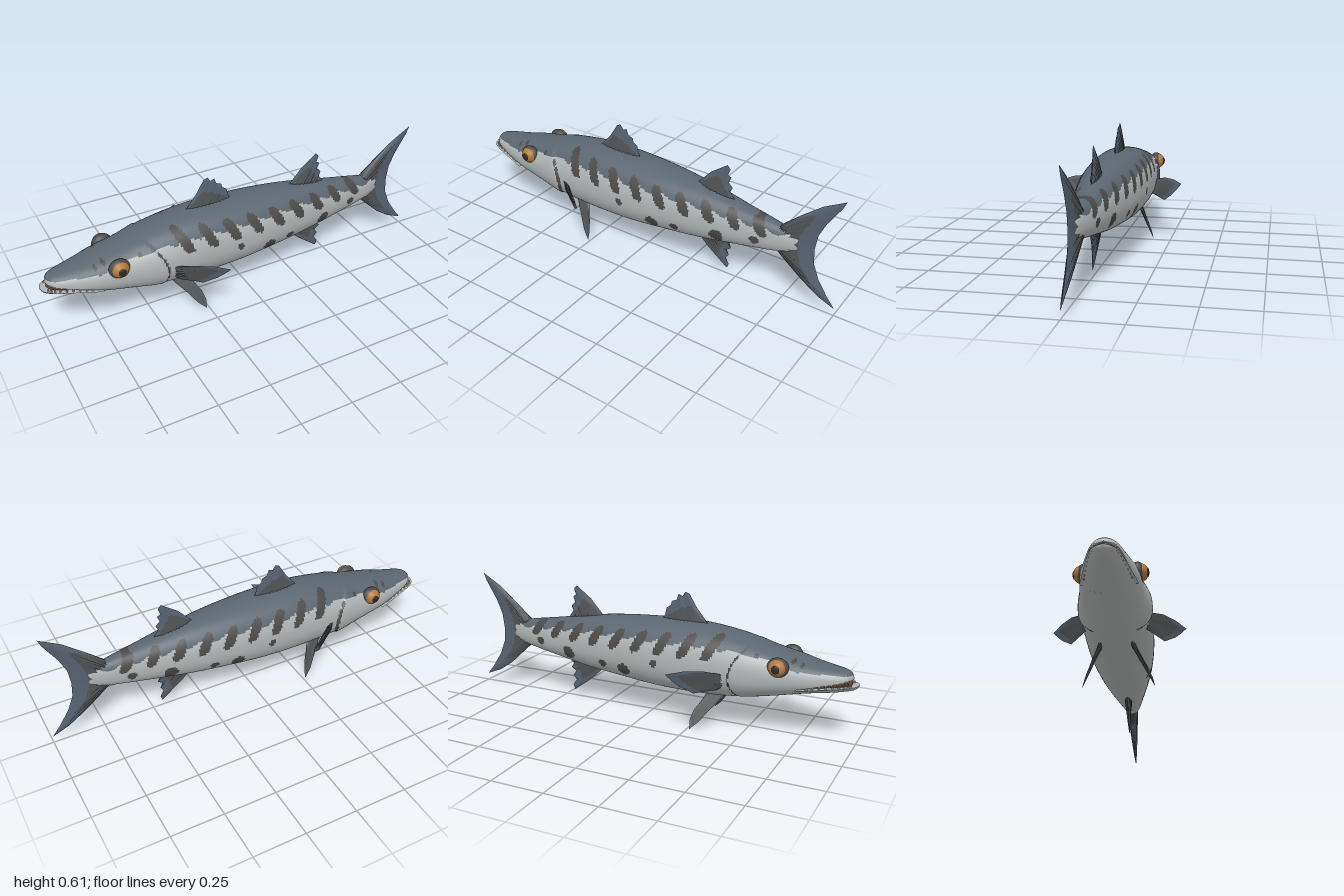
import * as THREE from 'three';

const paint = (name, color) => Object.assign(new THREE.MeshStandardMaterial({ color }), { name });
const MATS = [
  paint('slate back', 0x5c6670), paint('silver belly', 0xb2b6b6), paint('charcoal marks', 0x4b4a49),
  paint('dark fin', 0x515355), paint('slate fin', 0x576270), paint('amber eye', 0xb5793a),
  paint('black pupil', 0x2e2a28), paint('ivory tooth', 0xd8c6a6), paint('brown mouth', 0x74503a),
];
const [BACK, BELLY, MARK, FIN, FINTIP, AMBER, PUPIL, TOOTH, MOUTH] = MATS.keys();
const { clamp, smoothstep } = THREE.MathUtils;

// Body stations: x, top y, bottom y, half width
const STATIONS = [
  [-1, .31, .28, 0], [-.985, .332, .262, .035], [-.95, .345, .25, .06], [-.88, .355, .235, .083],
  [-.8, .368, .222, .105], [-.74, .382, .21, .12], [-.6, .412, .178, .138], [-.45, .45, .152, .152],
  [-.26, .475, .14, .158], [-.05, .475, .143, .154], [.15, .463, .16, .138], [.33, .442, .178, .112],
  [.54, .405, .21, .075], [.7, .378, .238, .045], [.78, .355, .262, .022], [.82, .33, .29, 0],
];
const JAW_END = 5 / (STATIONS.length - 1);
const curve = (pick) => new THREE.CatmullRomCurve3(STATIONS.map(pick), false, 'catmullrom', 0.5);
const heights = curve(([x, top, bot]) => new THREE.Vector3(x, top, bot));
const widths = curve(([x, , , w]) => new THREE.Vector3(x, w, 0));

// Smooth grid surface; u runs along, v across; each face takes the colour chosen by a rule
function grid(name, nu, nv, point, colour, wrap = false) {
  const pos = [], faces = MATS.map(() => []), cols = wrap ? nv : nv + 1;
  for (let i = 0; i <= nu; i++) for (let j = 0; j < cols; j++) pos.push(...point(i / nu, j / nv));
  for (let i = 0; i < nu; i++) for (let j = 0; j < nv; j++) {
    const k = (j + 1) % cols;
    const a = i * cols + j, b = a + cols, c = (i + 1) * cols + k, d = i * cols + k;
    const mid = [0, 1, 2].map((n) => (pos[a * 3 + n] + pos[b * 3 + n] + pos[c * 3 + n] + pos[d * 3 + n]) / 4);
    faces[colour(mid, (i + .5) / nu, (j + .5) / nv)].push(a, b, c, a, c, d);
  }
  const geo = new THREE.BufferGeometry();
  geo.setAttribute('position', new THREE.Float32BufferAttribute(pos, 3));
  geo.setIndex(faces.flat());
  let start = 0;
  faces.forEach((f, m) => { if (f.length) geo.addGroup(start, f.length, m); start += f.length; });
  geo.computeVertexNormals();
  const mesh = new THREE.Mesh(geo, MATS);
  mesh.name = name;
  return mesh;
}

const gillEdge = (y) => -.44 - 3.5 * (y - .27) ** 2;

// Point on the rounded body section at station t and turn v
function bodyPoint(t, v) {
  const h = heights.getPoint(t), w = Math.max(0, widths.getPoint(t).y), a = v * Math.PI * 2;
  const bend = (n) => Math.sign(n) * Math.abs(n) ** .9;
  const y = (h.y + h.z) / 2 + (h.y - h.z) / 2 * bend(Math.sin(a));
  const flare = h.x < gillEdge(y) ? 1 + .08 * smoothstep(h.x, -.62, gillEdge(y)) : 1;
  return [h.x, y, w * bend(Math.cos(a)) * flare];
}

// Lower edge of the dark back
const EDGE = [[-1.01, .322], [-.74, .335], [-.6, .375], [-.45, .395], [-.3, .4], [0, .395], [.3, .385], [.9, .33]];
function backEdge(x) {
  const i = clamp(EDGE.findIndex((e) => e[0] > x), 1, EDGE.length - 1);
  const [x0, y0] = EDGE[i - 1], [x1, y1] = EDGE[i];
  return y0 + (y1 - y0) * (x - x0) / (x1 - x0) + (x > -.42 ? .008 * Math.sin(x * 51.5) : 0);
}

// Flank spots: x, y, radius
const SPOTS = [[-.07, .29, .018], [.1, .23, .032], [.22, .24, .021], [.43, .257, .034], [.61, .288, .021],
  [-.76, .36, .009], [-.72, .372, .009], [-.56, .385, .011]];
function skin([x, y]) {
  if (SPOTS.some(([sx, sy, r]) => Math.hypot(x - sx, y - sy) < r)) return MARK;
  for (let k = 0; k < 9; k++) { // slanted bars
    const mid = .397 - .005 * k, half = .058 - .002 * k;
    const dx = (x - (-.35 + k * .122) - (mid - y) * .5) / .026;
    if (dx ** 2 + ((y - mid) / half) ** 4 < 1) return MARK;
  }
  if (y > .18 && y < .385 && Math.abs(x - gillEdge(y)) < .006) return MARK;
  return y > backEdge(x) ? BACK : BELLY;
}

const mouthLine = (x) => .25 + (-.74 - x) * .17;
const mouthGap = (x) => .05 * Math.max(0, -.74 - x);

// Fin fanned from base a-b to a serrated edge, with raised rays and a thin rim
function fin(name, a, b, edge, thick, tipAt = .6) {
  const vec = (p) => new THREE.Vector3(p[0], p[1], p[2] || 0);
  const A = vec(a), B = vec(b), E = edge.map(vec), n = (E.length - 1) * 2;
  const normal = B.clone().sub(A).cross(E[E.length >> 1].clone().sub(A)).normalize();
  const group = new THREE.Group();
  group.name = name;
  for (const s of [1, -1]) {
    const point = (u0, v) => {
      const u = s > 0 ? u0 : 1 - u0, f = u * (E.length - 1), i = Math.min(Math.floor(f + 1e-6), E.length - 2);
      const ridge = Math.round(u * n) % 2 ? .55 : 1;
      const t = thick * (1 - v) ** .8 * ridge * Math.max(0, Math.sin(Math.PI * u)) ** .4;
      return A.clone().lerp(B, u).lerp(E[i].clone().lerp(E[i + 1], f - i), v).addScaledVector(normal, s * t).toArray();
    };
    group.add(grid(name + 'Side', n, 10, point, (m, u, v) => (v > tipAt ? FINTIP : FIN)));
  }
  return group;
}

function part(name, geo, mat, x, y, z) {
  const mesh = new THREE.Mesh(geo, MATS[mat]);
  mesh.name = name;
  mesh.position.set(x, y, z);
  return mesh;
}

export function createModel() {
  const fish = new THREE.Group();
  fish.name = 'fish';

  // Trunk, then jaws cut from the same sections along the mouth line
  fish.add(grid('body', 230, 96, (u, v) => bodyPoint(JAW_END + (1 - JAW_END) * u, v), skin, true));
  fish.add(grid('upperJaw', 50, 64, (u, v) => {
    const [x, y, z] = bodyPoint(u * JAW_END, v);
    return [x + .1 * (-.74 - x), Math.max(y, mouthLine(x) + mouthGap(x)), z];
  }, skin, true));
  fish.add(grid('lowerJaw', 50, 64, (u, v) => {
    const [x, y, z] = bodyPoint(u * JAW_END, v);
    return [x, Math.min(y, mouthLine(x) - mouthGap(x)), z];
  }, () => BELLY, true));
  fish.add(grid('mouthInside', 30, 32, (u, v) => {
    const [x, y, z] = bodyPoint(u * JAW_END, v), g = mouthGap(x) + .003;
    return [x + .12 * (-.74 - x), clamp(y, mouthLine(x) - g, mouthLine(x) + g), z * .8];
  }, () => MOUTH, true));

  const toothGeo = new THREE.ConeGeometry(.006, .02, 6);
  const eyeGeo = new THREE.SphereGeometry(1, 28, 18);
  for (const s of [1, -1]) {
    // Teeth
    for (let i = 0; i < 9; i++) {
      const t = (1.2 + i * .36) / (STATIONS.length - 1);
      const x = heights.getPoint(t).x, z = s * widths.getPoint(t).y * .9, g = mouthGap(x);
      const upper = part('upperTooth', toothGeo, TOOTH, x + .1 * (-.74 - x), mouthLine(x) + g - .007, z);
      upper.rotation.x = Math.PI;
      fish.add(upper, part('lowerTooth', toothGeo, TOOTH, x + .012, mouthLine(x) - g + .005, z * .98));
    }
    // Eyes
    const socket = part('eyeSocket', eyeGeo, MARK, -.66, .345, s * .112);
    socket.scale.set(.05, .047, .032);
    const eye = part('eye', eyeGeo, AMBER, -.66, .347, s * .118);
    eye.scale.set(.042, .04, .04);
    const pupil = part('pupil', eyeGeo, PUPIL, -.66, .347, s * .153);
    pupil.scale.set(.019, .019, .007);
    fish.add(socket, eye, pupil);
    // Paired fins
    const side = (pts) => pts.map(([x, y, z]) => [x, y, z * s]);
    fish.add(fin('pectoralFin', ...side([[-.425, .285, .135], [-.4, .215, .13]]), side([
      [-.41, .29, .155], [-.35, .31, .205], [-.27, .316, .262], [-.205, .306, .308], [-.225, .27, .28],
      [-.25, .24, .255], [-.275, .222, .235], [-.3, .2, .21], [-.34, .205, .18], [-.385, .208, .15]]), .012, .75));
    fish.add(fin('pelvicFin', ...side([[-.4, .165, .065], [-.31, .16, .08]]), side([
      [-.39, .148, .075], [-.34, .09, .115], [-.3, .035, .145], [-.262, 0, .163], [-.26, .045, .152],
      [-.272, .09, .132], [-.3, .13, .1]]), .01, .85));
  }

  // Fins on the centre line
  fish.add(fin('frontDorsalFin', [-.27, .455], [-.06, .45], [
    [-.28, .474], [-.225, .54], [-.185, .605], [-.165, .612], [-.15, .59], [-.13, .598], [-.12, .57],
    [-.095, .56], [-.09, .54], [-.068, .525], [-.06, .49], [-.05, .47]], .024));
  fish.add(fin('rearDorsalFin', [.28, .43], [.45, .4], [
    [.275, .447], [.345, .525], [.425, .583], [.44, .565], [.43, .535], [.447, .525], [.435, .497],
    [.457, .475], [.445, .455], [.47, .42]], .022));
  fish.add(fin('analFin', [.28, .2], [.46, .22], [
    [.275, .175], [.345, .11], [.45, .03], [.46, .055], [.44, .085], [.457, .108], [.44, .13],
    [.467, .15], [.45, .17], [.48, .195]], .022));
  fish.add(fin('tailFin', [.69, .36], [.69, .255], [
    [.71, .373], [.8, .46], [.89, .535], [.99, .592], [.975, .555], [.915, .455], [.885, .385], [.875, .31],
    [.88, .235], [.91, .16], [.96, .085], [1, .035], [.915, .07], [.84, .12], [.775, .18], [.72, .24]], .036));
  return fish;
}
